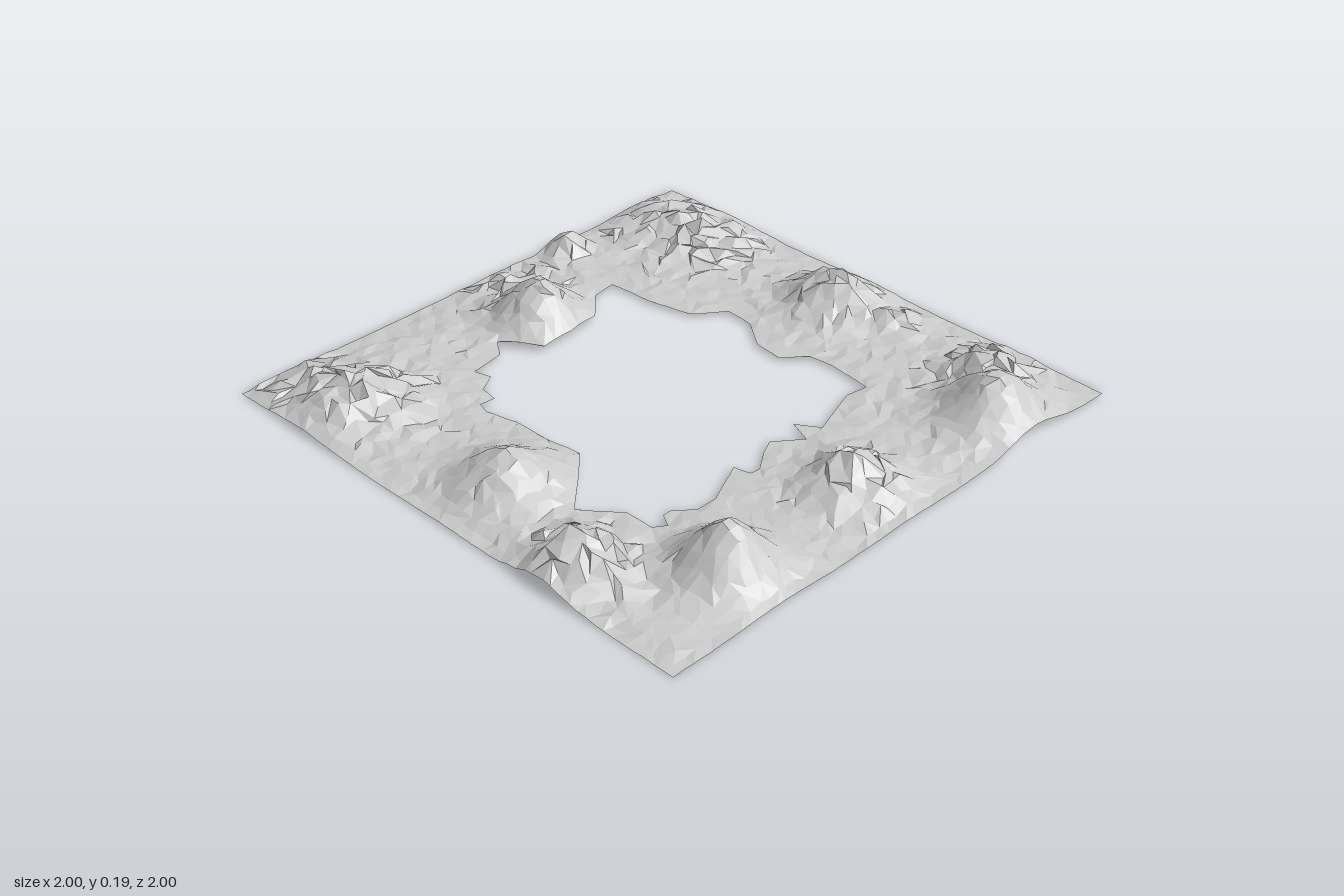
import * as THREE from 'three';

// Rim of the central opening as x, z pairs, in order around the centre
const RIM = [
  -0.21, -0.63, -0.12, -0.49, 0, -0.485, 0.135, -0.51, 0.24, -0.62, 0.34, -0.64, 0.35, -0.55,
  0.35, -0.47, 0.39, -0.30, 0.50, -0.22, 0.49, -0.11, 0.41, 0, 0.40, 0.11, 0.48, 0.18, 0.49, 0.27,
  0.47, 0.435, 0.39, 0.42, 0.19, 0.49, 0.14, 0.41, 0.105, 0.495, 0.01, 0.425, -0.05, 0.455,
  -0.15, 0.525, -0.17, 0.44, -0.33, 0.515, -0.41, 0.515, -0.49, 0.44, -0.53, 0.51, -0.57, 0.48,
  -0.57, 0.37, -0.68, 0.26, -0.56, 0.15, -0.46, 0.05, -0.48, -0.08, -0.48, -0.23, -0.52, -0.39,
  -0.44, -0.38, -0.43, -0.45, -0.36, -0.49, -0.38, -0.55, -0.25, -0.57,
];

// Hills: x, z, height, radius, roughness
const HILLS = [
  [-0.56, 0.78, 0.17, 0.135, 0.15],
  [0.02, 0.77, 0.11, 0.135, 0.6],
  [0.63, 0.84, 0.16, 0.15, 0.1],
  [0.83, 0.66, 0.075, 0.12, 0.9],
  [-0.86, 0.46, 0.115, 0.14, 0.9],
  [-0.73, 0.02, 0.125, 0.155, 0.2],
  [0.79, 0.01, 0.135, 0.14, 0.8],
  [0.84, 0.25, 0.04, 0.09, 0.6],
  [0.00, -0.65, 0.155, 0.13, 0.3],
  [0.08, -0.86, 0.02, 0.14, 0.9],
  [-0.78, -0.67, 0.09, 0.17, 1],
  [-0.80, -0.87, 0.03, 0.14, 1],
  [0.40, -0.94, 0.10, 0.06, 0.5],
  [0.80, -0.66, 0.06, 0.17, 1],
  [0.80, -0.86, 0.035, 0.14, 0.9],
];

const CELLS = 52;

// Seeded random in -1..1
function makeRandom(seed) {
  return () => {
    seed = (seed * 16807) % 2147483647;
    return (seed / 2147483647) * 2 - 1;
  };
}

// Height and roughness of the ground at a point; the plain sinks to zero at the border
function ground(x, z) {
  const reach = Math.max(Math.abs(x), Math.abs(z));
  let y = 0.013 - 0.012 * THREE.MathUtils.smoothstep(reach, 0.85, 1);
  let rough = 0.08;
  for (const [hx, hz, h, r, k] of HILLS) {
    const d2 = ((x - hx) ** 2 + (z - hz) ** 2) / (r * r);
    y += h * Math.exp(-d2);
    rough = Math.max(rough, k * Math.exp(-d2 * 0.5));
  }
  return { y, rough };
}

const corners = [];
for (let i = 0; i < RIM.length; i += 2) corners.push(new THREE.Vector2(RIM[i], RIM[i + 1]));
const edges = corners.map((a, i) => [a, corners[(i + 1) % corners.length]]);

// True where the opening is
function inOpening(x, z) {
  let inside = false;
  for (const [a, b] of edges) {
    if (a.y > z !== b.y > z && x < a.x + ((b.x - a.x) * (z - a.y)) / (b.y - a.y)) inside = !inside;
  }
  return inside;
}

// Closest rim position, preferring a nearby rim corner
function snapToRim(p) {
  let best = null, bestDistance = Infinity;
  const offer = (q, bonus) => {
    const d = q.distanceTo(p) - bonus;
    if (d < bestDistance) { best = q; bestDistance = d; }
  };
  for (const [a, b] of edges) {
    offer(a, 0.015);
    for (let t = 0.1; t < 0.95; t += 0.1) offer(a.clone().lerp(b, t), 0);
  }
  p.copy(best);
}

function terrainGeometry() {
  const random = makeRandom(4711);
  const n = CELLS, row = n + 1;
  const at = (i) => (2 * i) / n - 1;

  // Keep the grid cells outside the opening; note which vertices touch a dropped cell
  const index = [], onRim = new Set();
  for (let j = 0; j < n; j++) {
    for (let i = 0; i < n; i++) {
      const a = j * row + i, b = a + 1, c = a + row, d = c + 1;
      if (inOpening(at(i + 0.5), at(j + 0.5))) {
        for (const v of [a, b, c, d]) onRim.add(v);
      } else if (random() > 0) index.push(a, c, b, b, c, d);
      else index.push(a, c, d, a, d, b);
    }
  }

  // Place the vertices: rim snapped, border straight, the rest jittered by roughness
  const positions = [];
  for (let j = 0; j <= n; j++) {
    for (let i = 0; i <= n; i++) {
      const p = new THREE.Vector2(at(i), at(j));
      const { rough } = ground(p.x, p.y);
      const rim = onRim.has(j * row + i);
      const border = i === 0 || j === 0 || i === n || j === n;
      const jitter = 0.009 + 0.015 * rough;
      if (rim) snapToRim(p);
      else {
        if (i > 0 && i < n) p.x = THREE.MathUtils.clamp(p.x + random() * jitter, -1, 1);
        if (j > 0 && j < n) p.y = THREE.MathUtils.clamp(p.y + random() * jitter, -1, 1);
      }
      const bump = random() * (0.003 + 0.022 * rough) * (rim || border ? 0.3 : 1);
      const y = ground(p.x, p.y).y * (rim ? 0.8 : 1) + bump;
      positions.push(p.x, Math.max(0, y), p.y);
    }
  }

  const geometry = new THREE.BufferGeometry();
  geometry.setAttribute('position', new THREE.Float32BufferAttribute(positions, 3));
  geometry.setIndex(index);
  const faceted = geometry.toNonIndexed();
  faceted.computeVertexNormals();
  return faceted;
}

export function createModel() {
  const group = new THREE.Group();
  group.name = 'terrain';

  // Open sheet of hilly ground around a ragged opening
  const material = new THREE.MeshStandardMaterial({
    color: 0xcccccc, flatShading: true, side: THREE.DoubleSide,
  });
  const land = new THREE.Mesh(terrainGeometry(), material);
  land.name = 'hillyGround';
  group.add(land);
  return group;
}
